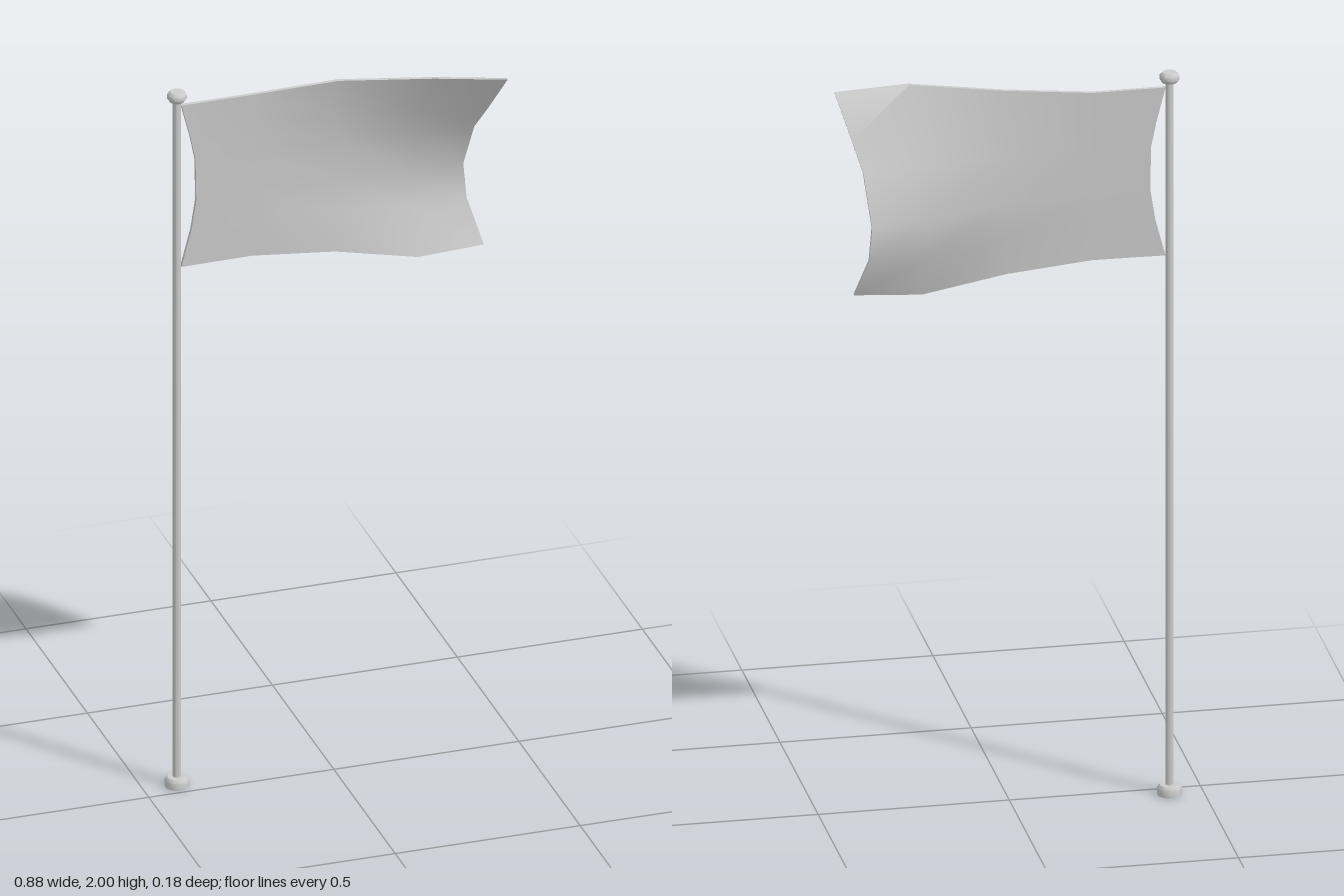
import * as THREE from 'three';
import { toCreasedNormals } from 'three/addons/utils/BufferGeometryUtils.js';

const POLE_X = -0.411, POLE_Z = -0.04;

// Columns run from the pole to the fly end: x, top y, bottom y, share of the wave
const COLUMNS = [
  [-0.40, 1.96, 1.495, 0],
  [-0.21, 1.96, 1.497, 0],
  [0.015, 1.975, 1.475, 0.18],
  [0.24, 1.98, 1.43, 0.78],
  [0.41, 1.96, 1.44, 1],
];
// Rows run from top to bottom: fraction down, pole edge inset, fly edge shift, inner shift, wave depth
const ROWS = [
  [0, 0, 0.03, 0.015, 0.125],
  [0.21, 0.025, -0.002, 0, 0.06],
  [0.35, 0.038, -0.022, -0.005, 0.01],
  [0.6, 0.04, -0.034, -0.01, -0.043],
  [0.78, 0.027, -0.028, -0.01, -0.035],
  [1, 0, 0, -0.008, 0.022],
];

function clothGeometry(half) {
  const nc = COLUMNS.length, nr = ROWS.length, layer = nc * nr;
  const positions = [], index = [];
  for (const side of [1, -1]) {
    for (const [v, inset, fly, inner, wave] of ROWS) {
      COLUMNS.forEach(([x, top, bottom, share], c) => {
        const shift = c === 0 ? inset : c === nc - 1 ? fly : inner * share;
        positions.push(x + shift, top + (bottom - top) * v, POLE_Z + wave * share + side * half);
      });
    }
  }
  const quad = (a, b, c, d) => index.push(a, b, c, a, c, d);
  // Front and back faces
  for (let r = 0; r < nr - 1; r++) {
    for (let c = 0; c < nc - 1; c++) {
      const a = r * nc + c;
      quad(a, a + nc, a + nc + 1, a + 1);
      quad(a + layer, a + layer + 1, a + layer + nc + 1, a + layer + nc);
    }
  }
  // Hem around the outline, counter-clockwise from the front
  const rim = [];
  for (let r = 0; r < nr - 1; r++) rim.push(r * nc);
  for (let c = 0; c < nc - 1; c++) rim.push((nr - 1) * nc + c);
  for (let r = nr - 1; r > 0; r--) rim.push(r * nc + nc - 1);
  for (let c = nc - 1; c > 0; c--) rim.push(c);
  rim.forEach((a, i) => {
    const b = rim[(i + 1) % rim.length];
    quad(a, a + layer, b + layer, b);
  });
  const geometry = new THREE.BufferGeometry();
  geometry.setAttribute('position', new THREE.Float32BufferAttribute(positions, 3));
  geometry.setIndex(index);
  return toCreasedNormals(geometry, 1.1);
}

export function createModel() {
  const group = new THREE.Group();
  const material = new THREE.MeshStandardMaterial({ color: 0xcccccc });
  const add = (name, geometry, x = 0, z = 0) => {
    const mesh = new THREE.Mesh(geometry, material);
    mesh.name = name;
    mesh.position.set(x, 0, z);
    group.add(mesh);
  };
  const turned = (profile, sides) => toCreasedNormals(
    new THREE.LatheGeometry(profile.map(([r, y]) => new THREE.Vector2(r, y)), sides), 0.75);

  // Pole with its foot and cap
  add('base', turned([[0, 0], [0.032, 0], [0.032, 0.02], [0.026, 0.028], [0, 0.028]], 10), POLE_X, POLE_Z);
  add('pole', turned([[0.0105, 0.02], [0.0105, 1.98]], 10), POLE_X, POLE_Z);
  add('cap', turned([[0, 1.973], [0.02, 1.973], [0.026, 1.982], [0.025, 1.993], [0.018, 2], [0, 2]], 10), POLE_X, POLE_Z);

  // Waving cloth
  add('flag', clothGeometry(0.005));
  return group;
}
